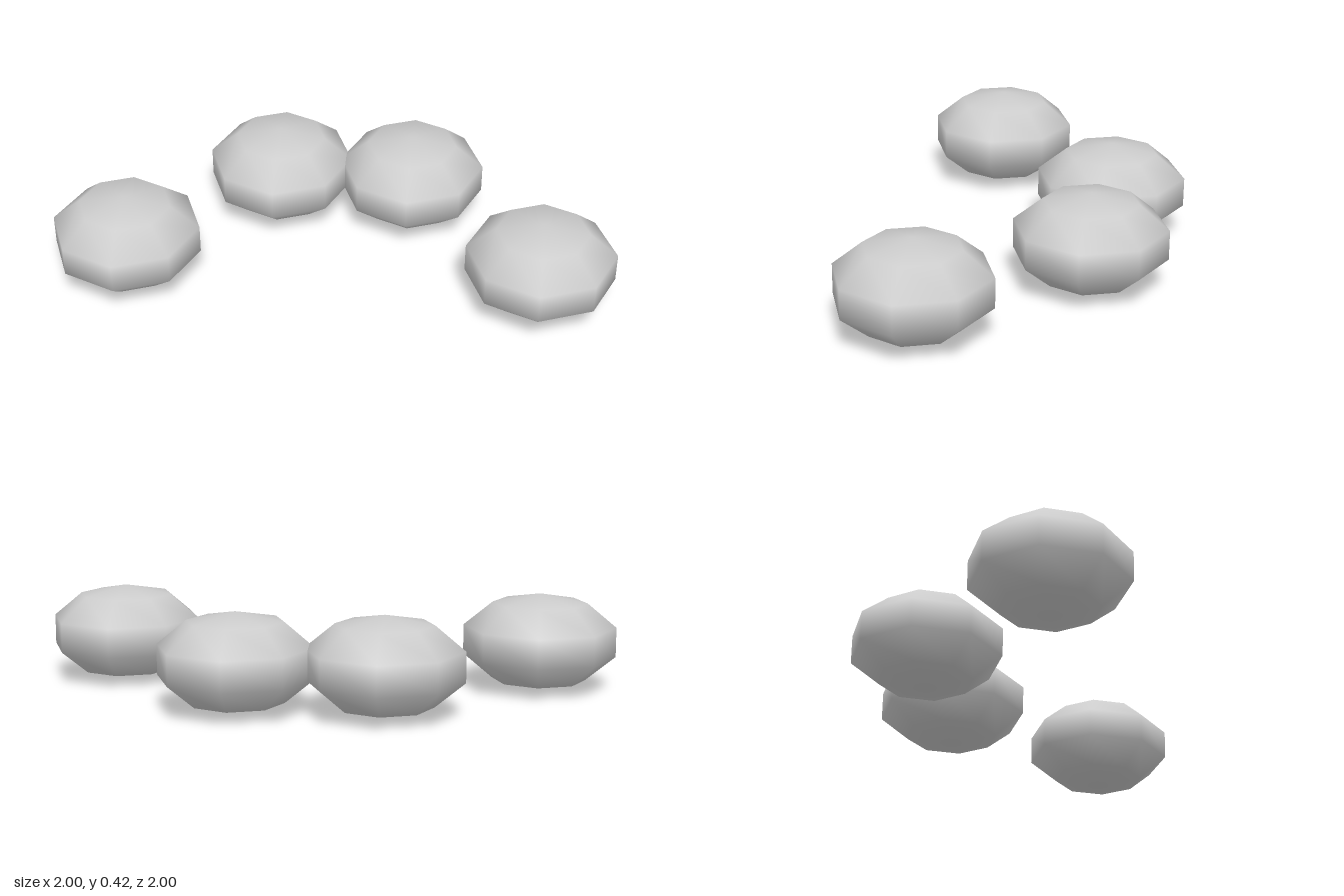
import * as THREE from 'three';

export function createModel() {
  const group = new THREE.Group();
  group.name = 'pebbleCluster';

  const stone = new THREE.MeshStandardMaterial({ color: 0xcccccc });
  stone.name = 'light grey';

  // Coarse eight-sided sphere with smooth normals, flattened to a pebble
  const radius = 0.354;
  const squash = 0.6;
  const pebble = new THREE.SphereGeometry(radius, 8, 5);
  pebble.scale(1, squash, 1);

  // Four pebbles in an L-shaped arc, mirrored across the diagonal
  const far = 0.6635, near = 0.221;
  const spots = [
    ['leftEndPebble', far, -far],
    ['backPebble', -near, -far],
    ['rightPebble', -far, -near],
    ['frontEndPebble', -far, far],
  ];
  for (const [name, x, z] of spots) {
    const mesh = new THREE.Mesh(pebble, stone);
    mesh.name = name;
    mesh.position.set(x, radius * squash, z);
    group.add(mesh);
  }
  return group;
}
